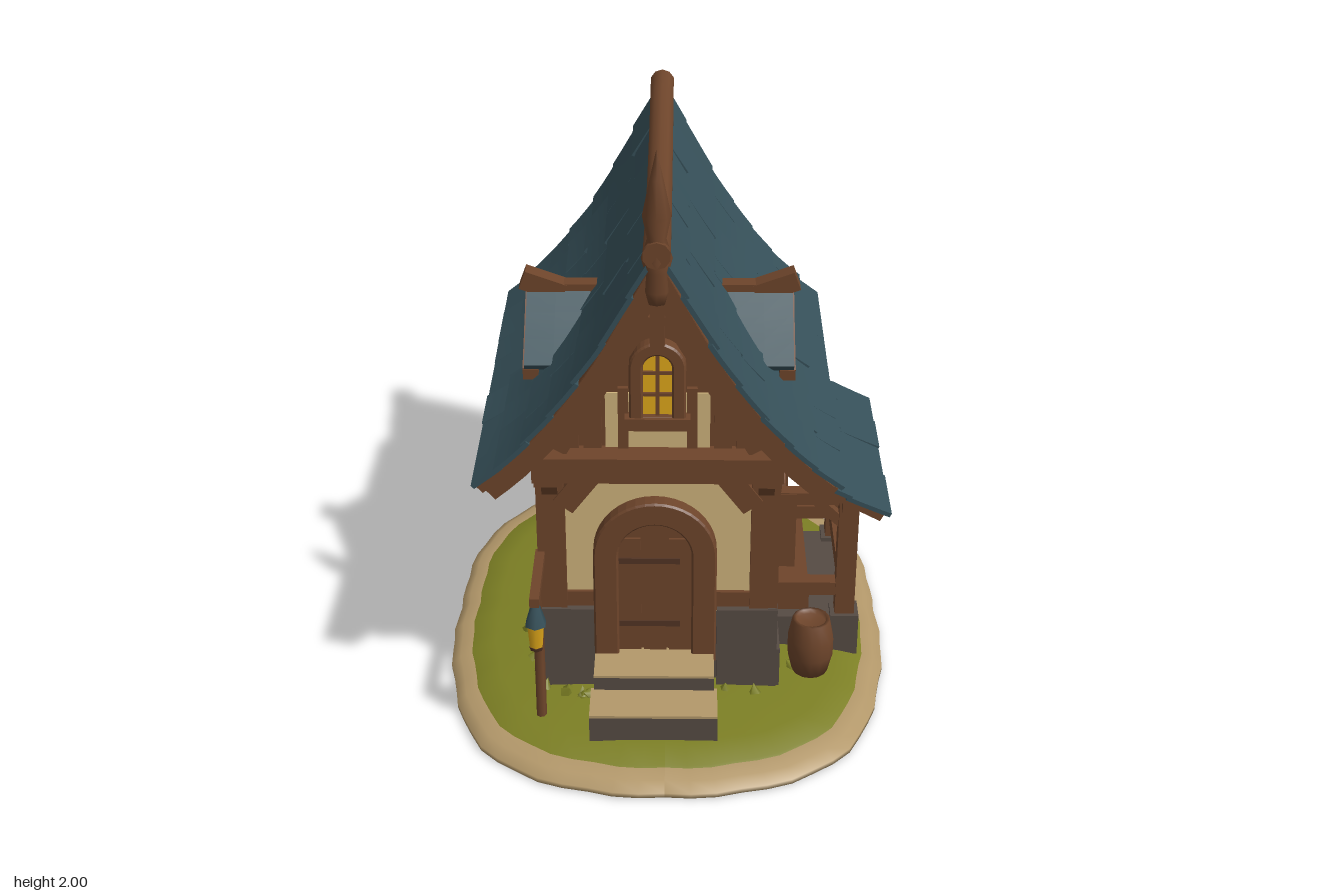
import * as THREE from 'three';
import { mergeGeometries } from 'three/addons/utils/BufferGeometryUtils.js';

const V = (x, y, z) => new THREE.Vector3(x, y, z);
const CX = -0.025; // centre line of the house

export function createModel() {
  const root = new THREE.Group();
  root.name = 'cottage';
  const mat = (name, color) => {
    const m = new THREE.MeshStandardMaterial({ color });
    m.name = name;
    return m;
  };
  const wood = mat('wood', 0x6e452b), slate = mat('roofSlate', 0x365059), plaster = mat('plaster', 0xcfb47c),
    stone = mat('stone', 0x564b44), glow = mat('windowGlow', 0xe0a81a), grass = mat('grass', 0x7c7f24),
    sand = mat('sand', 0xb3986a), dark = mat('darkWood', 0x523424);

  let seed = 7;
  const rnd = () => (seed = (seed * 16807) % 2147483647) / 2147483647;
  const jit = (a) => (rnd() - 0.5) * 2 * a;

  const add = (parent, name, geo, m, x = 0, y = 0, z = 0) => {
    const mesh = new THREE.Mesh(geo, m);
    mesh.name = name;
    mesh.position.set(x, y, z);
    parent.add(mesh);
    return mesh;
  };
  const group = (parent, name, x = 0, y = 0, z = 0, ry = 0) => {
    const g = new THREE.Group();
    g.name = name;
    g.position.set(x, y, z);
    g.rotation.y = ry;
    parent.add(g);
    return g;
  };
  // box given by its limits
  const block = (p, name, m, x0, x1, y0, y1, z0, z1) =>
    add(p, name, new THREE.BoxGeometry(x1 - x0, y1 - y0, z1 - z0), m, (x0 + x1) / 2, (y0 + y1) / 2, (z0 + z1) / 2);
  // timber between two points
  const beam = (p, name, a, b, w, h = w) => {
    const mesh = new THREE.Mesh(new THREE.BoxGeometry(w, h, a.distanceTo(b)), wood);
    mesh.name = name;
    mesh.position.copy(a).lerp(b, 0.5);
    if (Math.abs(a.x - b.x) + Math.abs(a.z - b.z) > 1e-4) mesh.lookAt(b);
    else mesh.rotation.x = Math.PI / 2;
    p.add(mesh);
  };
  // box bent over a surface P(u, z), from offset n0 to n1 along its normal, kept on one side of the ridge
  const slab = (P, u0, u1, z0, z1, n0, n1, lift = 0, su = 3, sz = 3) => {
    const g = new THREE.BoxGeometry(1, 1, 1, su, 1, sz), a = g.attributes.position;
    for (let i = 0; i < a.count; i++) {
      const s = a.getX(i) + 0.5, u = u0 + (u1 - u0) * s, z = z0 + (z1 - z0) * (a.getZ(i) + 0.5);
      const q = P(u, z), t = P(Math.min(u + 0.02, 1), z).sub(P(Math.max(u - 0.02, 0), z)).normalize();
      const n = (a.getY(i) > 0 ? n1 : n0) + lift * s;
      a.setXYZ(i, Math.max(0, q.x - t.y * n), q.y + t.x * n, z);
    }
    g.computeVertexNormals();
    return g;
  };
  const shingles = (P, rows, cols, z0, z1) => {
    const list = [];
    for (let r = 0; r < rows; r++) {
      let z = z1;
      for (let k = 0; k < cols; k++) {
        const last = k === cols - 1;
        const next = last ? z0 + jit(0.012) : z1 + (z0 - z1) * (k + 1 + jit(0.25) + (r % 2) * 0.25) / cols;
        const end = Math.min(1, (r + 1) / rows + 0.015 + jit(0.015));
        list.push(slab(P, r / rows, end, next, k ? z : z1 + jit(0.012), -0.005, 0.01, 0.008 + jit(0.005)));
        z = next;
      }
    }
    return mergeGeometries(list);
  };
  const arch = (w, h, shape = new THREE.Shape()) => {
    const r = w / 2;
    shape.moveTo(-r, 0);
    shape.lineTo(r, 0);
    shape.lineTo(r, h - r);
    shape.absarc(0, h - r, r, 0, Math.PI, false);
    shape.lineTo(-r, 0);
    return shape;
  };
  const extrude = (shape, depth, bevel = 0) => new THREE.ExtrudeGeometry(shape,
    { depth, curveSegments: 10, bevelEnabled: bevel > 0, bevelSize: bevel, bevelThickness: bevel, bevelSegments: 1 });
  // arched frame round a flat panel, facing +z
  const archFrame = (p, w, h, rim, depth, pane, bars) => {
    const s = arch(w + 2 * rim, h + rim), front = depth * 0.35;
    s.holes.push(arch(w, h, new THREE.Path()));
    add(p, 'archFrame', extrude(s, depth, 0.006), wood);
    add(p, 'archPanel', extrude(arch(w, h), 0.008), pane, 0, 0, front);
    if (!bars) return;
    block(p, 'windowBar', wood, -0.006, 0.006, 0, h, front, front + 0.016);
    for (const f of [0.35, 0.68]) block(p, 'windowBar', wood, -w / 2, w / 2, h * f - 0.005, h * f + 0.005, front, front + 0.016);
    block(p, 'windowSill', wood, -w / 2 - rim - 0.02, w / 2 + rim + 0.02, -0.035, 0.005, 0, depth + 0.015);
  };

  // ---- island: turned rings pushed out to a rounded oblong
  const island = (name, pts, m) => {
    const g = new THREE.LatheGeometry(pts.map(([r, y]) => new THREE.Vector2(r, y)), 72), a = g.attributes.position;
    for (let i = 0; i < a.count; i++) {
      const x = a.getX(i), z = a.getZ(i), t = Math.atan2(z, x);
      const k = (Math.abs(Math.cos(t) / 0.737) ** 2.7 + Math.abs(Math.sin(t) / 0.924) ** 2.7) ** (-1 / 2.7);
      const w = k * (1 + 0.005 * Math.sin(9 * t) + 0.005 * Math.sin(23 * t));
      a.setXYZ(i, x * w, a.getY(i), z * w);
    }
    g.computeVertexNormals();
    add(root, name, g, m);
  };
  island('sandRim', [[0.92, 0.012], [0.97, 0], [1, 0.004], [1, 0.02], [0.96, 0.042], [0.88, 0.055], [0.84, 0.04]], sand);
  island('grassTop', [[0.94, 0.03], [0.9, 0.055], [0.8, 0.075], [0.5, 0.09], [0, 0.09]], grass);
  island('grassUnderside', [[0, 0.012], [0.94, 0.012]], grass);
  block(root, 'floorUnderside', wood, -0.33, 0.31, 0.003, 0.012, -0.47, 0.25);
  for (let i = 0; i < 60; i++) {
    const t = rnd() * Math.PI * 2, e = (Math.abs(Math.cos(t)) ** 6 + Math.abs(Math.sin(t)) ** 6) ** (-1 / 6);
    const tuft = add(root, 'grassTuft', new THREE.ConeGeometry(0.022, 0.035, 5), grass,
      CX + Math.cos(t) * e * (0.43 + jit(0.03)), 0.098, -0.115 + Math.sin(t) * e * (0.62 + jit(0.04)));
    tuft.rotation.set(jit(0.8), rnd() * 3, jit(0.8));
  }

  // ---- stone base with uneven blocks, open at the door
  block(root, 'stoneBase', stone, CX - 0.375, CX + 0.375, 0.05, 0.37, -0.685, 0.428);
  for (let row = 0; row < 2; row++) {
    const y0 = 0.06 + row * 0.162, y1 = y0 + 0.16;
    for (const s of [-1, 1]) {
      for (let k = 0; k < 5; k++) {
        const z0 = -0.69 + k * 0.23, x = CX + s * (0.375 + jit(0.007));
        block(root, 'baseStone', stone, x - 0.015, x + 0.015, y0, y1 + jit(0.01), z0, z0 + 0.228);
      }
      const x0 = s < 0 ? CX - 0.385 : CX + 0.19;
      block(root, 'frontStone', stone, x0, x0 + 0.195, y0, y1 + jit(0.01), 0.41, 0.465 + jit(0.005));
    }
    for (let k = 0; k < 3; k++) {
      const x0 = CX - 0.385 + k * 0.258;
      block(root, 'backStone', stone, x0, x0 + 0.255, y0, y1 + jit(0.01), -0.698 + jit(0.004), -0.67);
    }
  }

  // ---- walls and timber frame
  block(root, 'plasterWalls', plaster, CX - 0.345, CX + 0.345, 0.36, 0.96, -0.655, 0.43);
  for (const s of [-1, 1]) {
    const x = CX + s * 0.338;
    for (const [z, d] of [[0.405, -1], [-0.635, 1]]) {
      block(root, 'cornerPost', wood, x - 0.045, x + 0.045, 0.35, 0.93, z - 0.048, z + 0.048);
      beam(root, 'sideBrace', V(x + s * 0.005, 0.73, z + d * 0.03), V(x + s * 0.005, 0.88, z + d * 0.14), 0.06);
      beam(root, 'wallBrace', V(x - s * 0.04, 0.77, z - d * 0.01), V(x - s * 0.13, 0.89, z - d * 0.01), 0.09, 0.075);
      beam(root, 'gableBracket', V(x, 0.82, z - d * 0.03), V(x, 0.92, z - d * 0.085), 0.05, 0.04);
    }
    beam(root, 'wallPlate', V(x, 0.905, -0.72), V(x, 0.905, 0.5), 0.09, 0.08);
    beam(root, 'sideSill', V(CX + s * 0.337, 0.405, -0.63), V(CX + s * 0.337, 0.405, 0.4), 0.04, 0.07);
  }
  // sill beams beside the door
  block(root, 'frontSill', wood, CX - 0.33, CX - 0.19, 0.37, 0.44, 0.42, 0.442);
  block(root, 'frontSill', wood, CX + 0.17, CX + 0.33, 0.37, 0.44, 0.42, 0.442);

  // ---- gables
  const half = [[0.36, 0.9], [0.36, 1.05], [0.18, 1.27], [0, 1.57]];
  const gableShape = new THREE.Shape([...half, ...half.slice(0, 3).reverse().map(([x, y]) => [-x, y])].map(([x, y]) => new THREE.Vector2(x, y)));
  for (const [z, ry] of [[0.42, 0], [-0.65, Math.PI]]) {
    const g = group(root, 'gable', CX, 0, z, ry);
    add(g, 'gableBoards', extrude(gableShape, 0.04), wood);
    block(g, 'gablePlaster', plaster, -0.16, 0.16, 0.99, 1.18, 0.04, 0.048);
    for (const x of [-0.27, -0.2, 0.2, 0.27]) block(g, 'gablePlank', wood, x - 0.028, x + 0.028, 0.96, 1.4 - Math.abs(x) * 1.2, 0.03, 0.055);
    for (const x of [-0.105, 0.105]) block(g, 'gableStud', wood, x - 0.016, x + 0.016, 0.97, 1.2, 0.04, 0.056);
    beam(g, 'tieBeam', V(-0.385, 0.95, 0.08), V(0.385, 0.95, 0.08), 0.09, 0.085);
    const w = group(g, 'gableWindow', 0, 1.11, 0.04);
    archFrame(w, 0.1, 0.22, 0.03, 0.04, glow, true);
    block(g, 'kingPost', wood, -0.022, 0.022, 1.34, 1.56, 0.03, 0.1);
    for (const s of [-1, 1]) beam(g, 'gableStrut', V(s * 0.3, 1.0, 0.07), V(s * 0.03, 1.46, 0.07), 0.045);
  }

  // ---- main roof with swayed ridge and flared eaves
  const sway = (z) => 0.145 * (z + 0.05) ** 2;
  const profile = new THREE.SplineCurve([[0, 1.63], [0.085, 1.48], [0.18, 1.315], [0.275, 1.18], [0.36, 1.08], [0.455, 0.985], [0.557, 0.905]]
    .map(([x, y]) => new THREE.Vector2(x, y)));
  const roofAt = (u, z) => {
    const p = profile.getPoint(u);
    return V(p.x, p.y + sway(z) * (1 - u), z);
  };
  for (const s of [1, -1]) {
    const r = group(root, s > 0 ? 'leftRoof' : 'rightRoof', CX);
    r.scale.x = s;
    add(r, 'shingles', shingles(roofAt, 7, 7, -0.815, 0.585), slate);
    add(r, 'roofUnderside', slab(roofAt, 0, 0.985, -0.8, 0.57, -0.03, -0.003, 0, 14, 14), wood);
    for (const z of [0.53, -0.8]) add(r, 'bargeBoard', slab(roofAt, 0, 0.96, z, z + 0.045, -0.07, -0.004, 0, 14, 1), wood);
  }
  const ridge = new THREE.CylinderGeometry(0.042, 0.042, 1.435, 10, 12).rotateX(Math.PI / 2);
  const rp = ridge.attributes.position;
  for (let i = 0; i < rp.count; i++) rp.setY(i, rp.getY(i) + 1.63 + sway(rp.getZ(i) - 0.117));
  ridge.computeVertexNormals();
  add(root, 'ridgeBeam', ridge, wood, CX, 0, -0.117);
  add(root, 'finial', new THREE.LatheGeometry([[0, 1.52], [0.03, 1.53], [0.04, 1.57], [0.036, 1.63], [0.046, 1.67], [0.028, 1.73], [0.042, 1.8], [0.02, 1.91], [0, 2]]
    .map(([x, y]) => new THREE.Vector2(x, y)), 8), wood, CX, 0, 0.56);

  // ---- dormers
  const tri = (w, y0, y1) => new THREE.Shape([V(-w, y0, 0), V(w, y0, 0), V(0, y1, 0)]);
  for (const s of [1, -1]) {
    const d = group(root, 'dormer', CX, 0, -0.065, s * Math.PI / 2);
    add(d, 'dormerBody', extrude(tri(0.2, 1.04, 1.26), 0.27), slate, 0, 0, 0.12);
    add(d, 'dormerGlass', extrude(tri(0.165, 1.09, 1.24), 0.008), glow, 0, 0, 0.388);
    for (const x of [-0.055, 0.055]) beam(d, 'dormerBar', V(x, 1.08, 0.4), V(x, 1.2, 0.4), 0.01);
    block(d, 'dormerMullion', wood, -0.014, 0.014, 1.08, 1.26, 0.385, 0.41);
    for (const x of [-1, 1]) {
      const slope = (u, z) => V(0.225 * u, 1.285 - 0.2 * u + 0.02 * u * u, z);
      const side = group(d, 'dormerRoof');
      side.scale.x = x;
      add(side, 'dormerSlates', slab(slope, 0, 1, 0.15, 0.43, -0.012, 0.015), slate);
      add(side, 'dormerBargeBoard', slab(slope, 0, 1, 0.39, 0.436, -0.045, -0.008), wood);
    }
    beam(d, 'dormerSill', V(-0.225, 1.08, 0.41), V(0.225, 1.08, 0.41), 0.05, 0.035);
    beam(d, 'dormerRidge', V(0, 1.275, 0.2), V(0, 1.275, 0.34), 0.055, 0.06);
    beam(d, 'dormerRidge', V(0, 1.27, 0.31), V(0, 1.32, 0.445), 0.06, 0.065);
  }

  // ---- door and steps
  const door = group(root, 'door', CX - 0.01, 0.2, 0.42);
  archFrame(door, 0.245, 0.52, 0.068, 0.055, wood, false);
  for (const x of [-0.082, 0, 0.082]) block(door, 'doorPlank', wood, x - 0.037, x + 0.037, 0, x ? 0.45 : 0.51, 0.02, 0.036);
  for (const y of [0.12, 0.36]) block(door, 'doorStrap', dark, -0.115, 0.08, y, y + 0.02, 0.036, 0.042);
  for (const [x0, x1, y, z0, z1] of [[-0.24, 0.165, 0.16, 0.59, 0.735], [-0.23, 0.155, 0.215, 0.43, 0.6]]) {
    block(root, 'doorStep', stone, x0, x1, 0.05, y, z0, z1);
    block(root, 'stepTop', sand, x0, x1, y, y + 0.009, z0, z1);
  }

  // ---- wall windows
  archFrame(group(root, 'sideWindow', CX - 0.345, 0.45, -0.1, -Math.PI / 2), 0.15, 0.25, 0.05, 0.03, wood, true);
  archFrame(group(root, 'backWindow', CX, 0.4, -0.655, Math.PI), 0.1, 0.17, 0.04, 0.03, wood, true);

  // ---- porch on the left side
  const porch = group(root, 'porch');
  block(porch, 'porchFloor', stone, 0.33, 0.635, 0.06, 0.2, -0.3, 0.235);
  block(porch, 'porchWall', wood, 0.31, 0.365, 0.2, 0.9, -0.29, 0.23);
  for (let k = 0; k < 5; k++) block(porch, 'porchWallPlank', wood, 0.36, 0.373, 0.2, 0.85, -0.285 + k * 0.104, -0.19 + k * 0.104);
  archFrame(group(porch, 'porchWindow', 0.365, 0.42, -0.035, Math.PI / 2), 0.072, 0.185, 0.032, 0.03, glow, true);
  block(porch, 'porchBench', wood, 0.365, 0.48, 0.2, 0.28, -0.26, 0.19);
  for (const [z, d] of [[0.205, -1], [-0.275, 1]]) {
    block(porch, 'porchPost', wood, 0.565, 0.63, 0.19, 0.68, z - 0.03, z + 0.03);
    block(porch, 'postFooting', stone, 0.55, 0.645, 0.06, 0.215, z - 0.045, z + 0.045);
    beam(porch, 'sideBeam', V(0.33, 0.66, z), V(0.62, 0.66, z), 0.045);
    beam(porch, 'sideRail', V(0.34, 0.31, z), V(0.6, 0.31, z), 0.05);
    beam(porch, 'porchBrace', V(0.595, 0.54, z), V(0.595, 0.65, z + d * 0.11), 0.035);
    beam(porch, 'porchBrace', V(0.59, 0.55, z), V(0.49, 0.65, z), 0.035);
    beam(porch, 'porchRafter', V(0.34, 0.84, z), V(0.65, 0.645, z), 0.045);
    block(porch, 'wallStud', wood, 0.35, 0.425, 0.4, 0.68, z - 0.025, z + 0.025);
  }
  beam(porch, 'porchCornerBrace', V(0.325, 0.62, -0.31), V(0.325, 0.88, -0.54), 0.07);
  beam(porch, 'porchHeader', V(0.597, 0.66, -0.37), V(0.597, 0.66, 0.27), 0.05);
  beam(porch, 'frontRail', V(0.597, 0.305, -0.27), V(0.597, 0.305, 0.2), 0.04, 0.055);
  const leanTo = (u, z) => V(0.3 + 0.41 * u, 0.915 - 0.245 * u + 0.04 * u * (u - 1), z);
  add(porch, 'porchShingles', shingles(leanTo, 3, 4, -0.415, 0.36), slate);
  add(porch, 'porchRoofUnderside', slab(leanTo, 0, 0.97, -0.4, 0.345, -0.028, -0.003), wood);

  // ---- barrel
  add(root, 'barrel', new THREE.LatheGeometry([[0, 0], [0.06, 0], [0.076, 0.07], [0.076, 0.13], [0.062, 0.2], [0.05, 0.2], [0.048, 0.185], [0, 0.185]]
    .map(([x, y]) => new THREE.Vector2(x, y)), 14), wood, 0.478, 0.08, 0.355);

  // ---- lamp post
  const lamp = group(root, 'lampPost', -0.4);
  const bend = new THREE.CatmullRomCurve3([V(0, 0.06, 0.605), V(0, 0.36, 0.605), V(0, 0.44, 0.62), V(0, 0.58, 0.67)]);
  add(lamp, 'lampPole', new THREE.TubeGeometry(bend, 10, 0.017, 7), wood);
  beam(lamp, 'lampArm', V(0, 0.585, 0.44), V(0, 0.585, 0.72), 0.03);
  add(lamp, 'lanternCap', new THREE.CylinderGeometry(0.012, 0.036, 0.08, 6), slate, 0, 0.53, 0.692);
  add(lamp, 'lanternGlass', new THREE.CylinderGeometry(0.029, 0.022, 0.085, 6), glow, 0, 0.45, 0.692);
  add(lamp, 'lanternBase', new THREE.CylinderGeometry(0.024, 0.02, 0.014, 6), dark, 0, 0.403, 0.692);
  return root;
}
